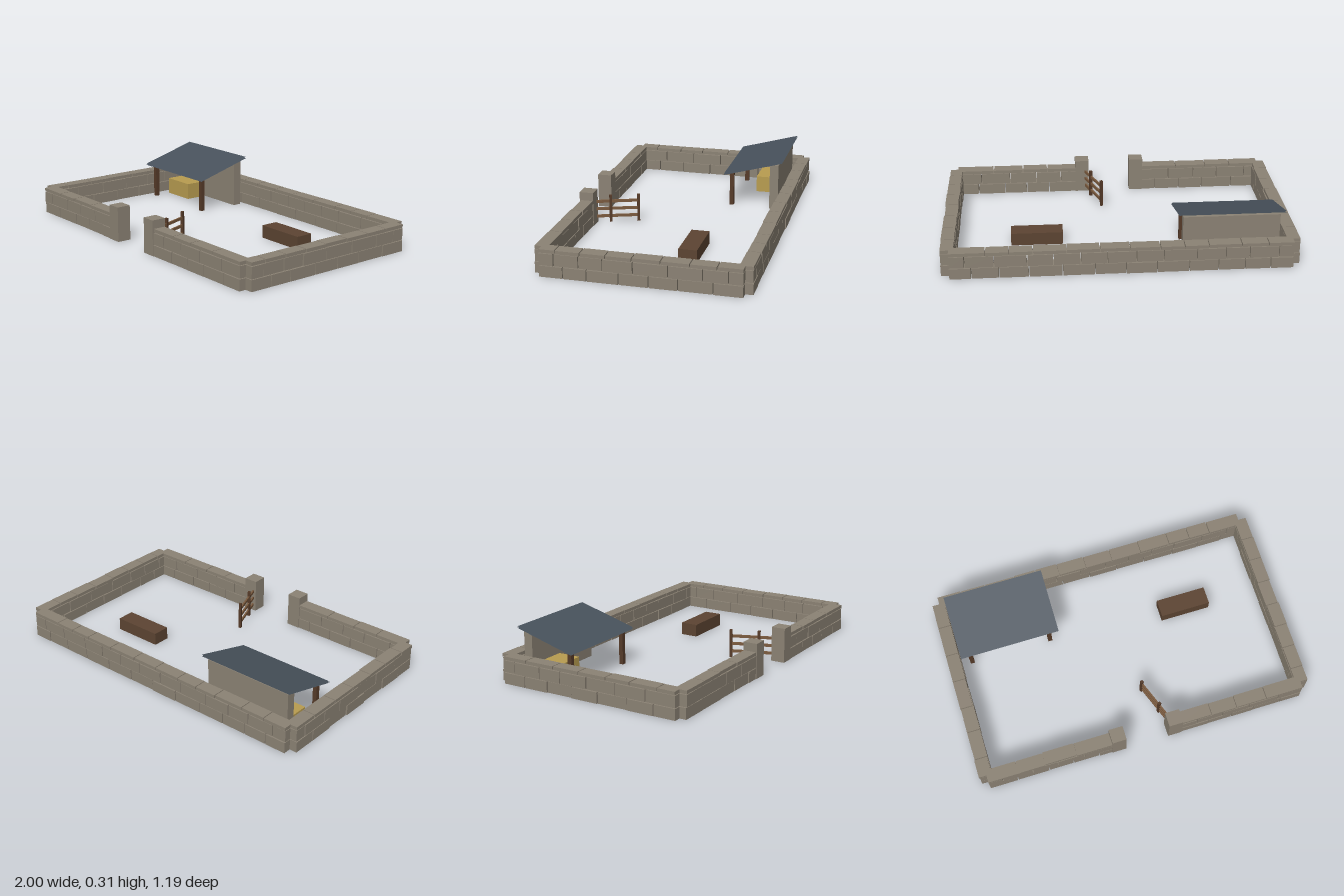
import * as THREE from 'three';

const mat = (name, color, side = THREE.FrontSide) => {
  const m = new THREE.MeshStandardMaterial({ color, side });
  m.name = name;
  return m;
};

export function createModel() {
  const stone = mat('stone', 0x8b8274, THREE.DoubleSide);
  const slate = mat('slate', 0x48525c, THREE.DoubleSide);
  const timber = mat('timber', 0x553a28);
  const rail = mat('rail wood', 0x7a5a3e);
  const troughWood = mat('trough wood', 0x5c4432, THREE.DoubleSide);
  const straw = mat('straw', 0xb89c50);

  const model = new THREE.Group();
  model.name = 'stoneSheepPen';

  let seed = 7;
  const rand = () => (seed = (seed * 16807) % 2147483647) / 2147483647;

  const group = (name) => {
    const g = new THREE.Group();
    g.name = name;
    model.add(g);
    return g;
  };

  // Box given by its limits; "open" leaves the underside off
  const block = (parent, name, material, [x0, x1], [y0, y1], [z0, z1], open = false) => {
    const geo = new THREE.BoxGeometry(x1 - x0, y1 - y0, z1 - z0);
    if (open) {
      const idx = Array.from(geo.index.array);
      idx.splice(18, 6);
      geo.setIndex(idx);
      geo.clearGroups();
    }
    const mesh = new THREE.Mesh(geo, material);
    mesh.name = name;
    mesh.position.set((x0 + x1) / 2, (y0 + y1) / 2, (z0 + z1) / 2);
    parent.add(mesh);
    return mesh;
  };

  // Dry-stone wall: two tall courses and a thin coping, uneven joints
  const courses = [[0, 0.063], [0.067, 0.133], [0.137, 0.156]];
  const wall = (name, alongX, from, to, centre) => {
    const g = group(name);
    courses.forEach(([y0, y1], c) => {
      let a = from;
      while (a < to - 0.01) {
        let len = 0.13 + rand() * 0.06;
        if (c === 1 && a === from) len *= 0.55;
        let b = a + len;
        if (to - b < 0.07) b = to;
        const half = 0.036 + rand() * 0.002;
        const shift = (rand() - 0.5) * 0.005;
        const span = [a, b - (b === to ? 0 : 0.005)];
        const depth = [centre + shift - half, centre + shift + half];
        block(g, 'wallStone', stone, alongX ? span : depth, [y0, y1], alongX ? depth : span, c === 0);
        a = b;
      }
    });
  };
  wall('backWall', true, -0.955, 0.95, -0.557);
  wall('rightWall', false, -0.55, 0.55, -0.96);
  wall('leftWall', false, -0.55, 0.55, 0.96);
  wall('frontWallRight', true, -0.955, -0.21, 0.553);
  wall('frontWallLeft', true, 0.205, 0.95, 0.553);

  // Entrance pillars
  const pillars = group('entrancePillars');
  for (const x of [-0.174, 0.168])
    block(pillars, 'entrancePillar', stone, [x - 0.042, x + 0.042], [0, 0.205], [0.513, 0.596], true);

  // Lean-to shelter: rear wall, two front posts, two-skin sloping roof
  const shelter = group('shelter');
  block(shelter, 'shelterBackWall', stone, [-0.89, -0.345], [0, 0.28], [-0.49, -0.437]);
  for (const x of [-0.86, -0.373])
    block(shelter, 'shelterPost', timber, [x - 0.0125, x + 0.0125], [0, 0.205], [-0.21, -0.185]);
  const zBack = -0.515, zFront = -0.155, rise = 0.1;
  for (const [name, y] of [['roofTop', 0.212], ['roofUnderside', 0.203]]) {
    const depth = zFront - zBack;
    const roof = new THREE.Mesh(new THREE.PlaneGeometry(0.595, Math.hypot(depth, rise)), slate);
    roof.name = name;
    roof.position.set(-0.617, y + rise / 2, (zBack + zFront) / 2);
    roof.rotation.x = -Math.atan2(depth, rise);
    shelter.add(roof);
  }

  // Straw bale under the roof and feeding trough in the yard
  block(model, 'strawBale', straw, [-0.865, -0.65], [0, 0.1], [-0.437, -0.3]);
  block(model, 'trough', troughWood, [0.315, 0.615], [0, 0.075], [-0.215, -0.11], true);

  // Gate standing open, hinged on the left pillar; local x runs from the hinge
  const gate = group('gate');
  const hinge = new THREE.Vector2(0.147, 0.515), tip = new THREE.Vector2(0.06, 0.28);
  const length = hinge.distanceTo(tip);
  gate.position.set(hinge.x, 0, hinge.y);
  gate.rotation.y = Math.atan2(hinge.y - tip.y, tip.x - hinge.x);
  for (const x of [0.085, length])
    block(gate, 'gatePost', timber, [x - 0.008, x + 0.008], [0.003, 0.17], [-0.008, 0.008]);
  for (const y of [0.04, 0.086, 0.132])
    block(gate, 'gateRail', rail, [0, length], [y - 0.008, y + 0.008], [-0.005, 0.005]);

  return model;
}
